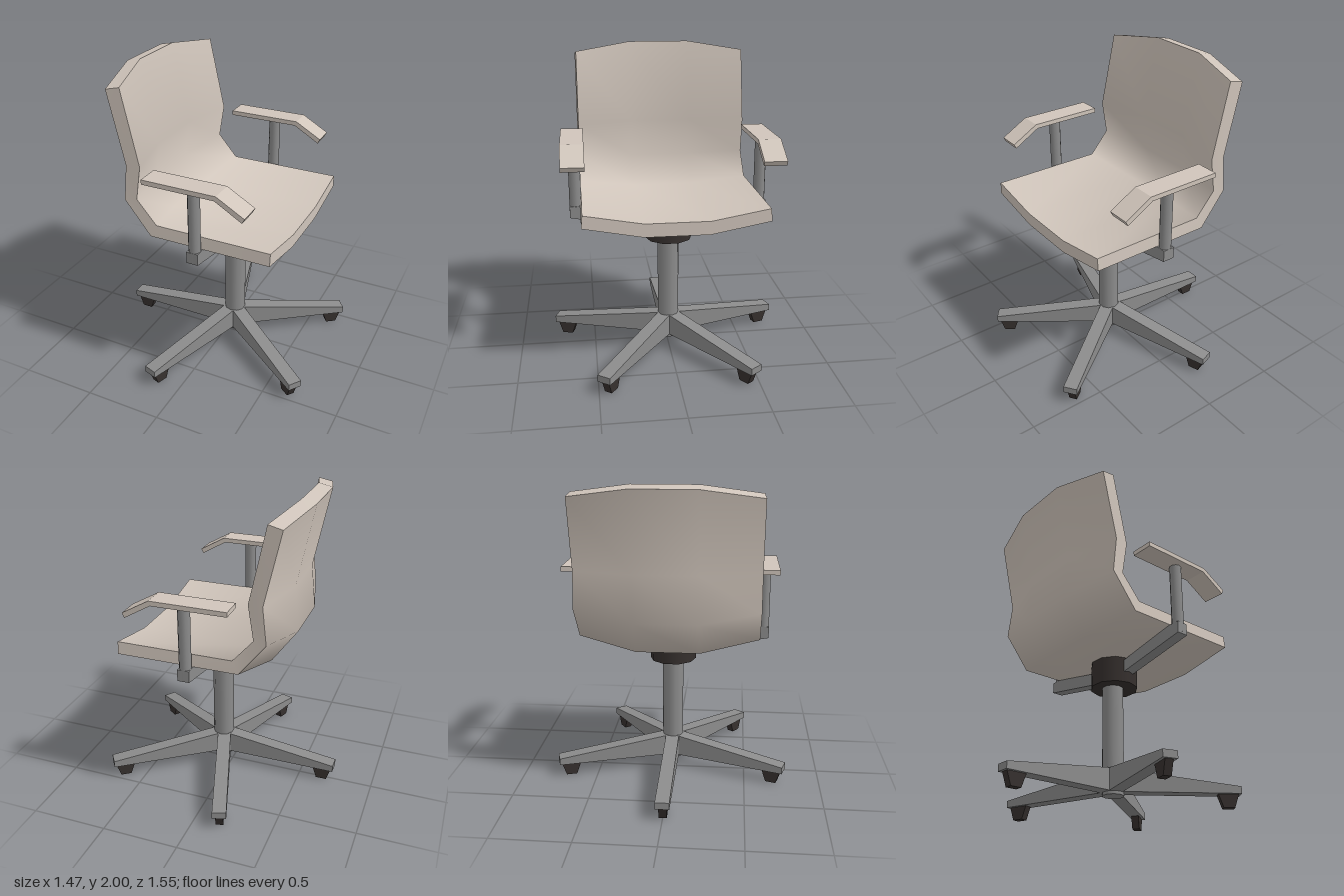
import * as THREE from 'three';
import { toCreasedNormals } from 'three/addons/utils/BufferGeometryUtils.js';

const fabric = new THREE.MeshStandardMaterial({ color: 0xd0c5bb });
const metal = new THREE.MeshStandardMaterial({ color: 0x8c8c8c });
const dark = new THREE.MeshStandardMaterial({ color: 0x36302e });

function add(parent, name, geometry, material, x = 0, y = 0, z = 0) {
  const mesh = new THREE.Mesh(geometry, material);
  mesh.name = name;
  mesh.position.set(x, y, z);
  parent.add(mesh);
  return mesh;
}

// Side outline in x, y extruded symmetrically about z = 0
function slab(points, width) {
  const shape = new THREE.Shape(points.map(([x, y]) => new THREE.Vector2(x, y)));
  return new THREE.ExtrudeGeometry(shape, { depth: width, bevelEnabled: false })
    .translate(0, 0, -width / 2);
}

// Upright cylinder between two heights
function post(parent, name, radius, y0, y1, material, x, z = 0) {
  const geometry = new THREE.CylinderGeometry(radius, radius, y1 - y0, 10);
  return add(parent, name, geometry, material, x, (y0 + y1) / 2, z);
}

// One-piece seat and back: eight-point sections swept from seat front to back top
function shellGeometry() {
  // Per station: inner edge, inner middle, outer edge, outer middle (x, y)
  const stations = [
    [[0.55, 1.10], [0.55, 1.035], [0.55, 1.02], [0.55, 0.95]],
    [[-0.20, 1.10], [-0.285, 1.035], [-0.24, 1.02], [-0.335, 0.95]],
    [[-0.33, 1.25], [-0.415, 1.22], [-0.41, 1.235], [-0.50, 1.18]],
    [[-0.295, 1.47], [-0.38, 1.47], [-0.385, 1.47], [-0.47, 1.47]],
    [[-0.40, 1.945], [-0.485, 2.0], [-0.49, 1.925], [-0.575, 1.98]],
  ];
  const rings = stations.map(([ie, im, oe, om]) => [
    [...ie, -0.565], [...im, -0.2], [...im, 0.2], [...ie, 0.565],
    [...oe, 0.573], [...om, 0.2], [...om, -0.2], [...oe, -0.573],
  ]);
  const out = [];
  const quad = (a, b, c, d) => out.push(...a, ...b, ...c, ...a, ...c, ...d);
  for (let i = 0; i < rings.length - 1; i++) {
    for (let j = 0; j < 8; j++) {
      const k = (j + 1) % 8;
      quad(rings[i][j], rings[i + 1][j], rings[i + 1][k], rings[i][k]);
    }
  }
  const first = rings[0], last = rings[rings.length - 1];
  for (let k = 0; k < 3; k++) {
    quad(first[k], first[k + 1], first[6 - k], first[7 - k]);
    quad(last[7 - k], last[6 - k], last[k + 1], last[k]);
  }
  const geometry = new THREE.BufferGeometry();
  geometry.setAttribute('position', new THREE.Float32BufferAttribute(out, 3));
  return toCreasedNormals(geometry, 1.0);
}

export function createModel() {
  const chair = new THREE.Group();
  chair.name = 'officeChair';

  add(chair, 'seatShell', shellGeometry(), fabric);

  // Column and hub under the seat
  post(chair, 'column', 0.07, 0.065, 0.9, metal, 0.067);
  post(chair, 'hub', 0.155, 0.78, 0.955, dark, 0.08);

  // Armrests, mirrored about z = 0
  const padOutline = [[-0.215, 1.43], [0.255, 1.43], [0.425, 1.33],
    [0.44, 1.36], [0.265, 1.46], [-0.215, 1.46]];
  const bracketOutline = [[0.1, 0.845], [0.64, 0.945], [0.64, 1.02], [0.565, 1.02], [0.1, 0.925]];
  for (const side of [1, -1]) {
    const arm = new THREE.Group();
    arm.name = side > 0 ? 'leftArmrest' : 'rightArmrest';
    add(arm, 'armPad', slab(padOutline, 0.145), fabric, 0, 0, side * 0.612);
    post(arm, 'armPost', 0.038, 0.96, 1.44, metal, 0.082, side * 0.603);
    const bracket = add(arm, 'armBracket', slab(bracketOutline, 0.076), metal, 0.082);
    bracket.rotation.y = -side * Math.PI / 2;
    chair.add(arm);
  }

  // Five-legged base with casters
  const legGeometry = slab([[0, 0.085], [0.8, 0.085], [0.8, 0.13], [0, 0.235]], 0.09);
  const casterGeometry = slab([[0.685, 0], [0.755, 0], [0.785, 0.086], [0.655, 0.086]], 0.05);
  for (let i = 0; i < 5; i++) {
    const leg = new THREE.Group();
    leg.name = 'baseLeg' + (i + 1);
    leg.position.x = 0.062;
    leg.rotation.y = Math.PI + i * Math.PI * 2 / 5;
    add(leg, 'legBeam', legGeometry, metal);
    add(leg, 'caster', casterGeometry, dark);
    chair.add(leg);
  }

  return chair;
}
